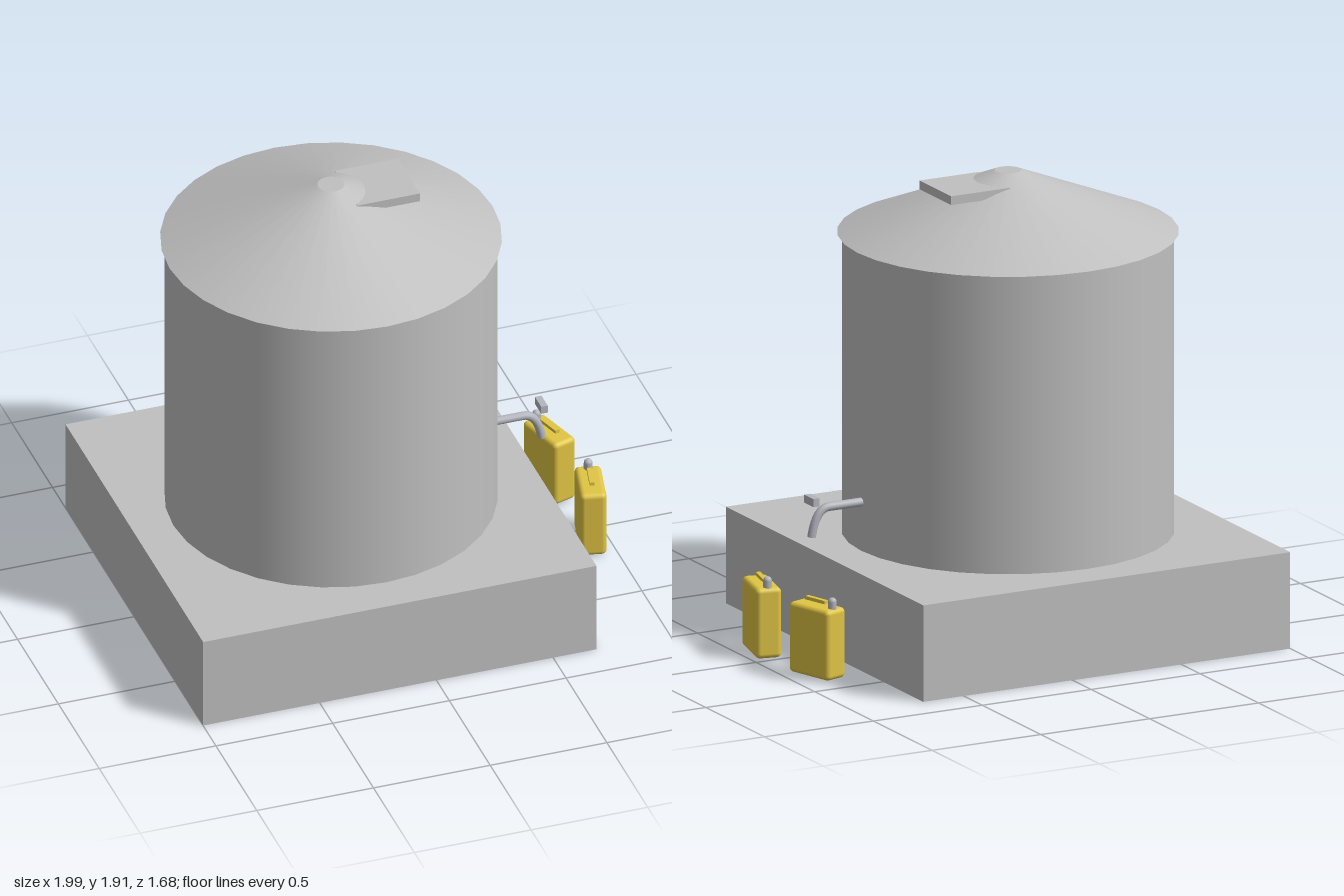
import * as THREE from 'three';
import { RoundedBoxGeometry } from 'three/addons/geometries/RoundedBoxGeometry.js';

export function createModel() {
  const model = new THREE.Group();
  model.name = 'waterTank';

  const material = (name, color) => {
    const m = new THREE.MeshStandardMaterial({ color });
    m.name = name;
    return m;
  };
  const grey = material('lightGrey', 0xc0c0c0);
  const metal = material('tapMetal', 0xb4b6be);
  const yellow = material('canYellow', 0xe0c544);

  const add = (parent, name, geometry, mat, x, y, z) => {
    const mesh = new THREE.Mesh(geometry, mat);
    mesh.name = name;
    mesh.position.set(x, y, z);
    parent.add(mesh);
    return mesh;
  };

  // Square plinth, round tank and conical roof with a flat top
  const tankX = -0.157;
  add(model, 'plinth', new THREE.BoxGeometry(1.685, 0.405, 1.685), grey, tankX, 0.2025, 0);
  add(model, 'tankWall', new THREE.CylinderGeometry(0.675, 0.675, 1.255, 32), grey, tankX, 1.0325, 0);
  add(model, 'roof', new THREE.CylinderGeometry(0.055, 0.692, 0.257, 32), grey, tankX, 1.7865, 0);

  // Level hatch half sunk into the roof slope
  add(model, 'hatch', new THREE.BoxGeometry(0.27, 0.037, 0.27), grey, 0.042, 1.8625, 0);

  // Bent outlet pipe and its handle
  const tap = new THREE.Group();
  tap.name = 'tap';
  const path = new THREE.CurvePath();
  const p = (x, y) => new THREE.Vector3(x, y, 0);
  path.add(new THREE.LineCurve3(p(0.5, 0.61), p(0.67, 0.61)));
  path.add(new THREE.QuadraticBezierCurve3(p(0.67, 0.61), p(0.727, 0.605), p(0.745, 0.492)));
  add(tap, 'tapPipe', new THREE.TubeGeometry(path, 20, 0.018, 10, false), metal, 0, 0, 0);
  const end = add(tap, 'tapMouth', new THREE.CircleGeometry(0.018, 10), metal, 0.745, 0.492, 0);
  end.rotation.set(Math.PI / 2, 0.16, 0);
  end.material = metal;
  add(tap, 'tapHandle', new THREE.BoxGeometry(0.028, 0.034, 0.078), metal, 0.744, 0.646, 0);
  model.add(tap);

  // Two jerrycans standing beside the plinth
  const addCan = (name, x, z, angle) => {
    const can = new THREE.Group();
    can.name = name;
    can.position.set(x, 0, z);
    can.rotation.y = angle;
    add(can, 'canBody', new RoundedBoxGeometry(0.108, 0.295, 0.228, 4, 0.02), yellow, 0, 0.1575, 0);
    add(can, 'canHandle', new THREE.BoxGeometry(0.02, 0.014, 0.11), yellow, 0, 0.323, 0.003);
    add(can, 'canCap', new THREE.CapsuleGeometry(0.018, 0.03, 5, 12), metal, 0, 0.317, -0.087);
    model.add(can);
  };
  addCan('frontJerrycan', 0.92, 0.1, -0.224);
  addCan('backJerrycan', 0.885, -0.307, 0.291);

  return model;
}
